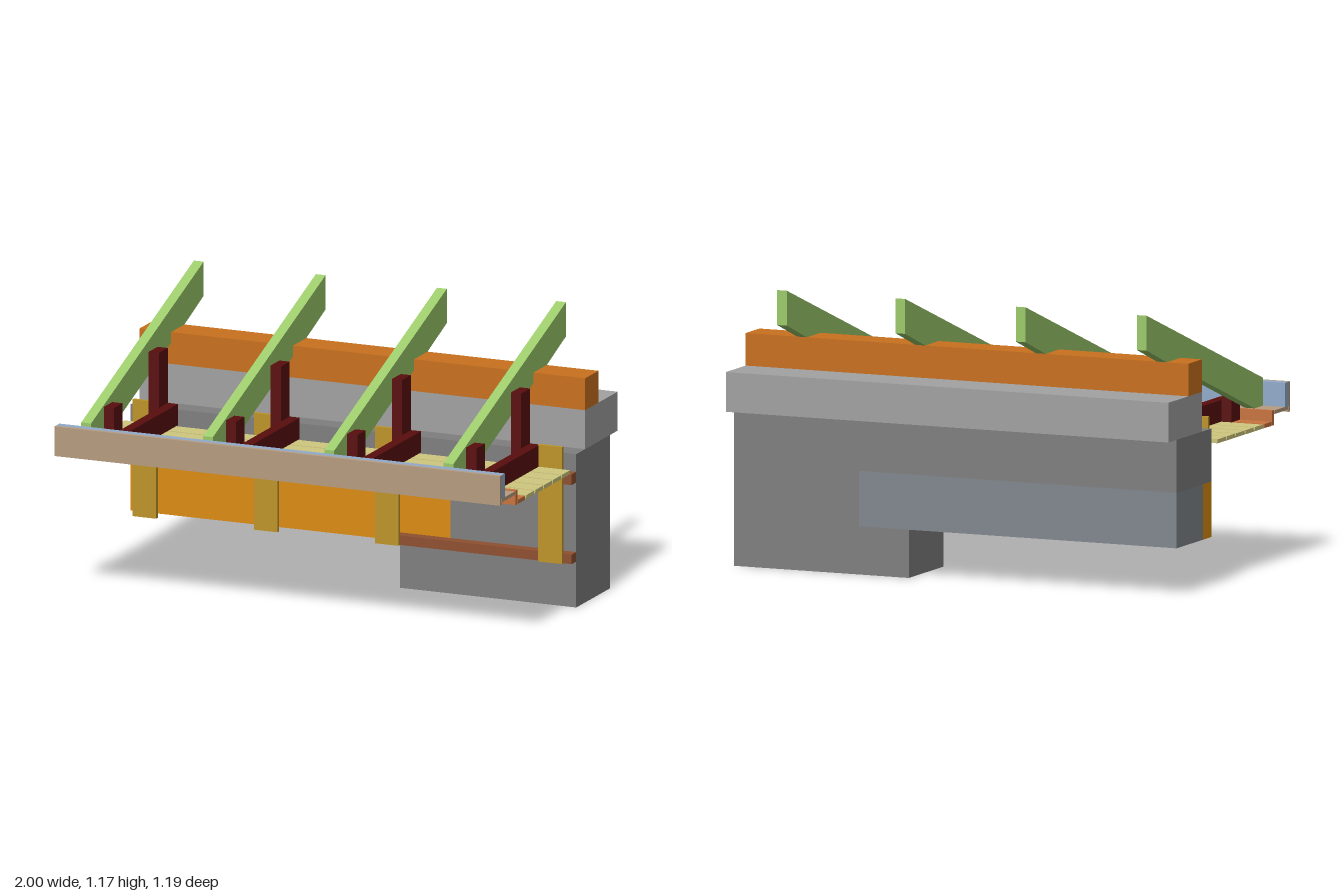
import * as THREE from 'three';

const mat = (color) => new THREE.MeshStandardMaterial({ color, flatShading: true });
const M = {
  wall: mat(0x7f7f7f), slab: mat(0xa2a2a2), plate: mat(0xc9711d), rafter: mat(0x9ccb6b),
  hanger: mat(0x5a0d0d), board: mat(0xd0c87f), edge: mat(0xc8743f), fascia: mat(0xb89c80),
  backing: mat(0x92abcb), batten: mat(0xbf9428), stud: mat(0x8f5030),
  lintel: mat(0xdb8c10), lintelBack: mat(0x80888d),
};

export function createModel() {
  const model = new THREE.Group();

  const add = (name, geometry, material) => {
    const mesh = new THREE.Mesh(geometry, material);
    mesh.name = name;
    model.add(mesh);
    return mesh;
  };
  // box given by its limits on each axis
  const box = (name, material, [x0, x1], [y0, y1], [z0, z1]) =>
    add(name, new THREE.BoxGeometry(x1 - x0, y1 - y0, z1 - z0), material)
      .position.set((x0 + x1) / 2, (y0 + y1) / 2, (z0 + z1) / 2);
  // [z, y] profile swept along x
  const sweep = (name, material, profile, x0, x1) => {
    const shape = new THREE.Shape(profile.map(([z, y]) => new THREE.Vector2(-z, y)));
    const geometry = new THREE.ExtrudeGeometry(shape, { depth: x1 - x0, bevelEnabled: false });
    add(name, geometry.rotateY(Math.PI / 2).translate(x0, 0, 0), material);
  };
  const full = [-1, 1];

  // wall with an opening below the lintel
  const wallShape = new THREE.Shape([
    [0.21, 0], [1, 0], [1, 0.65], [-1, 0.65], [-1, 0.43], [0.435, 0.43], [0.435, 0.2], [0.21, 0.2],
  ].map((p) => new THREE.Vector2(...p)));
  add('wall', new THREE.ExtrudeGeometry(wallShape, { depth: 0.34, bevelEnabled: false })
    .translate(0, 0, -0.515), M.wall);
  box('lintelFront', M.lintel, [-1, 0.435], [0.2, 0.43], [-0.255, -0.175]);
  box('lintelBack', M.lintelBack, [-1, 0.435], [0.2, 0.43], [-0.515, -0.255]);

  // ring beam and wall plate
  box('ringBeam', M.slab, full, [0.65, 0.815], [-0.595, -0.265]);
  box('wallPlate', M.plate, full, [0.815, 0.95], [-0.4, -0.265]);

  // rafters, notched over the wall plate, with a hanger frame beside each
  const rafterProfile = [
    [0.545, 0.64], [0.46, 0.64], [-0.265, 0.905], [-0.265, 0.95], [-0.4, 0.95],
    [-0.595, 1.025], [-0.595, 1.17], [0.545, 0.755],
  ].reverse();
  for (const x of [-0.88, -0.333, 0.211, 0.746]) {
    sweep('rafter', M.rafter, rafterProfile, x - 0.022, x + 0.022);
    const post = [x + 0.022, x + 0.068];
    box('frontHanger', M.hanger, post, [0.597, 0.795], [0.33, 0.415]);
    box('rearHanger', M.hanger, post, [0.597, 0.92], [-0.128, -0.038]);
    box('ceilingJoist', M.hanger, [x + 0.068, x + 0.113], [0.597, 0.687], [-0.128, 0.415]);
  }

  // soffit boards with a rebated joint
  for (let i = 0; i < 5; i++) {
    const z = -0.112 + i * 0.0905;
    sweep('soffitBoard', M.board, [
      [z, 0.58], [z + 0.088, 0.58], [z + 0.088, 0.588], [z + 0.08, 0.588], [z + 0.08, 0.597], [z, 0.597],
    ].reverse(), -1, 1);
  }
  box('soffitEdgeBoard', M.edge, full, [0.58, 0.597], [0.343, 0.415]);
  box('soffitTrim', M.edge, full, [0.58, 0.642], [0.42, 0.438]);

  // eaves
  box('eavesBoard', M.fascia, full, [0.625, 0.64], [0.445, 0.577]);
  box('fasciaBacking', M.backing, full, [0.64, 0.74], [0.545, 0.58]);
  box('fascia', M.fascia, full, [0.615, 0.74], [0.58, 0.597]);

  // wall battens over studs
  const studZ = [-0.175, -0.128];
  [-0.91, -0.366, 0.177, 0.91].forEach((x, i) => {
    box('batten', M.batten, [x - 0.053, x + 0.053], [0.195, 0.69], [-0.128, -0.112]);
    const height = i < 2 ? [0.195, 0.575] : [0.235, 0.53];
    box('stud', M.stud, [x - 0.022, x + 0.022], height, studZ);
  });
  for (const y of [[0.195, 0.235], [0.53, 0.575]]) box('rail', M.stud, [0.155, 1], y, studZ);

  return model;
}
